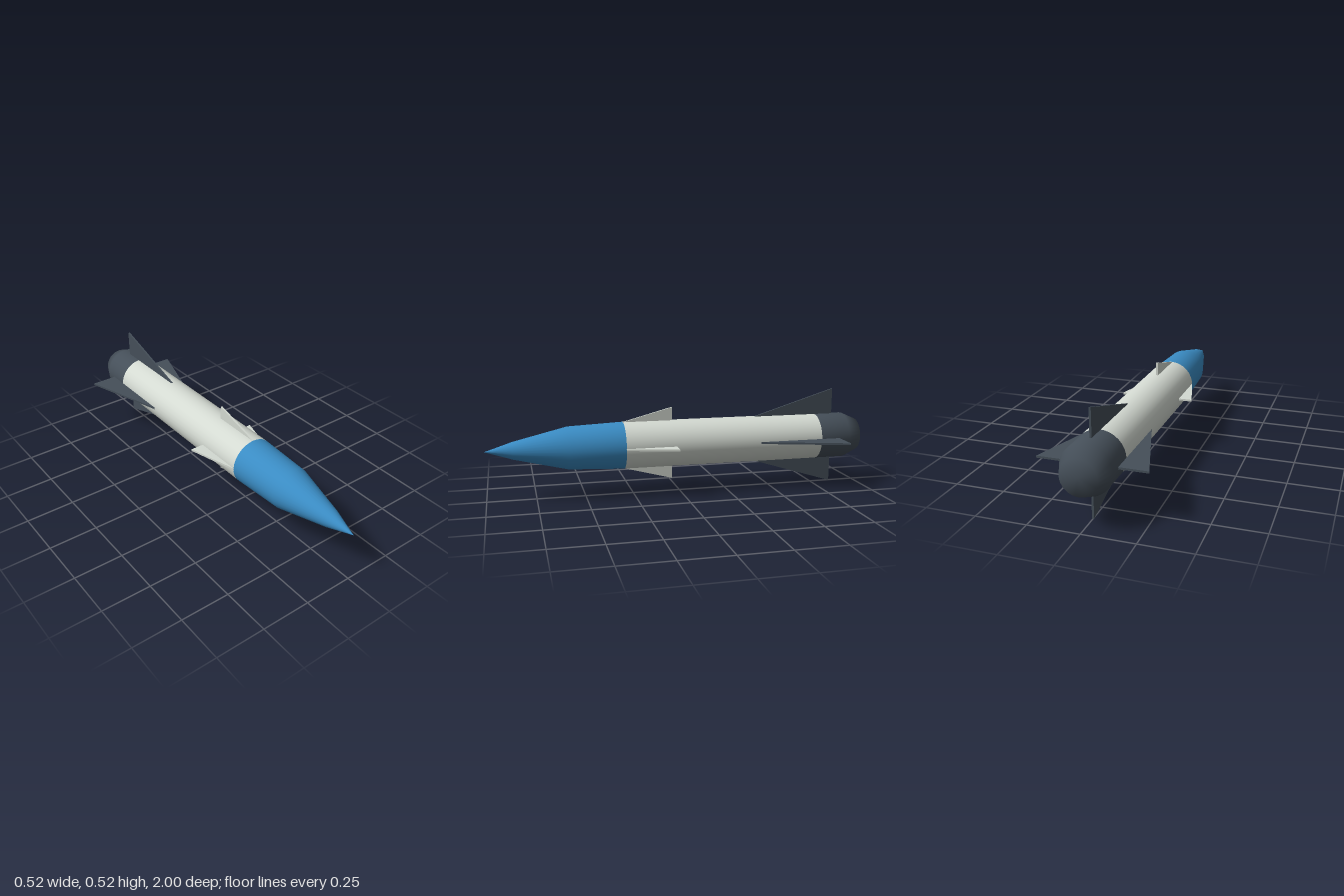
import * as THREE from 'three';

const AXIS_Y = 0.259;
const BODY_R = 0.122;
const FIN_THICKNESS = 0.01;

const material = (color) => new THREE.MeshStandardMaterial({ color });

// Smooth body of revolution about z from [radius, z] pairs, tail to nose
function revolve(name, profile, mat) {
  const points = profile.map(([r, z]) => new THREE.Vector2(r, z));
  const mesh = new THREE.Mesh(new THREE.LatheGeometry(points, 32).rotateX(Math.PI / 2), mat);
  mesh.name = name;
  return mesh;
}

// Four thin plates around the body, outlined by [z, radius] pairs
function finSet(name, outline, mat) {
  const shape = new THREE.Shape(outline.map(([z, r]) => new THREE.Vector2(z, r)));
  const geometry = new THREE.ExtrudeGeometry(shape, { depth: FIN_THICKNESS, bevelEnabled: false });
  geometry.translate(0, 0, -FIN_THICKNESS / 2).rotateY(-Math.PI / 2); // outline x becomes z
  const group = new THREE.Group();
  group.name = name + 's';
  for (let i = 0; i < 4; i++) {
    const fin = new THREE.Mesh(geometry, mat);
    fin.name = name;
    fin.rotation.z = (i * Math.PI) / 2;
    group.add(fin);
  }
  return group;
}

export function createModel() {
  const blue = material(0x3a8cc4);
  const pale = material(0xd4dad2);
  const dark = material(0x454f59);

  const model = new THREE.Group();
  model.name = 'missile';
  const rocket = new THREE.Group();
  rocket.name = 'airframe';
  rocket.position.y = AXIS_Y;
  model.add(rocket);

  rocket.add(
    // Tapered nose
    revolve('noseCone', [[BODY_R, 0.3], [0.11, 0.585], [0.045, 0.86], [0, 1]], blue),
    // Straight tube
    revolve('body', [[BODY_R, -0.76], [BODY_R, 0.3]], pale),
    // Chamfered, closed tail
    revolve('tail', [[0, -1], [0.087, -1], [BODY_R, -0.92], [BODY_R, -0.76]], dark),
    // Small fins behind the nose, large fins at the tail
    finSet('frontFin', [[0.04, 0.1], [0.315, 0.118], [0.04, 0.191]], pale),
    finSet('tailFin', [[-0.86, 0.1], [-0.41, 0.12], [-0.86, 0.259]], dark)
  );
  return model;
}
